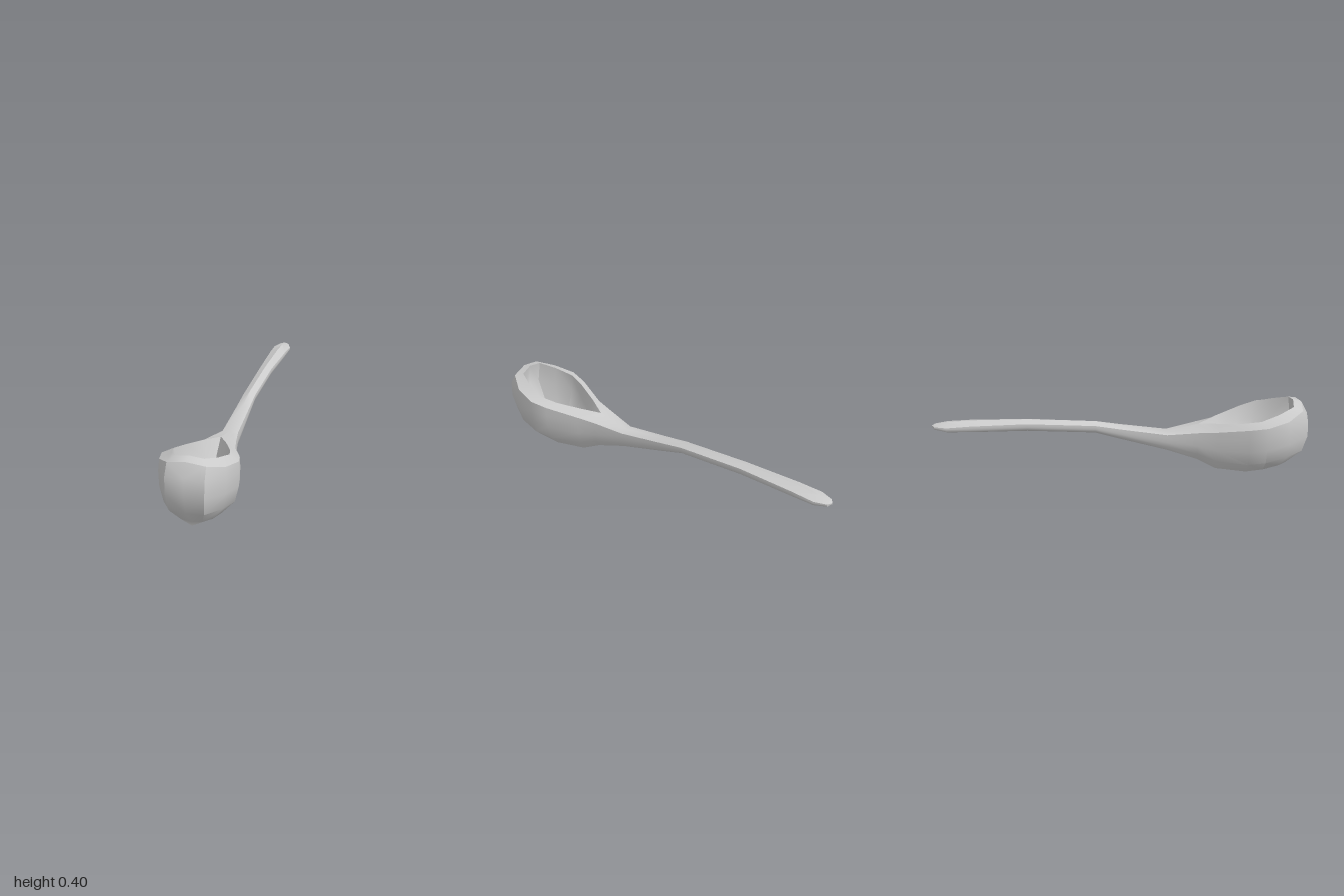
import * as THREE from 'three';
import { toCreasedNormals } from 'three/addons/utils/BufferGeometryUtils.js';

// Skins a grid of half-section columns (front to back) and mirrors it across x = 0
function mirroredSkin(columns, name, crease) {
  const pos = [];
  const tri = (a, b, c) => {
    if (new THREE.Triangle(a, b, c).getArea() < 1e-7) return;
    for (const p of [a, b, c]) pos.push(p.x, p.y, p.z);
    for (const p of [a, c, b]) pos.push(-p.x, p.y, p.z);
  };
  for (let i = 0; i < columns.length - 1; i++) {
    for (let j = 0; j < columns[i].length - 1; j++) {
      const a = columns[i][j], b = columns[i + 1][j];
      const c = columns[i][j + 1], d = columns[i + 1][j + 1];
      tri(a, c, b);
      tri(b, c, d);
    }
  }
  const geo = new THREE.BufferGeometry();
  geo.setAttribute('position', new THREE.Float32BufferAttribute(pos, 3));
  const mesh = new THREE.Mesh(
    toCreasedNormals(geo, crease),
    new THREE.MeshStandardMaterial({ color: 0xcccccc })
  );
  mesh.name = name;
  return mesh;
}

const V = (x, y, z) => new THREE.Vector3(x, y, z);

export function createModel() {
  const group = new THREE.Group();
  group.name = 'ladle';

  // Lip of the opening, front to back: x, y, z
  const lip = [
    [0, 0.4, 0.91], [0.07, 0.387, 0.9], [0.11, 0.362, 0.82], [0.135, 0.335, 0.72],
    [0.11, 0.315, 0.63], [0.055, 0.293, 0.51], [0, 0.272, 0.41],
  ].map((p) => V(...p));

  // Bowl stations: z, half width, rim height, keel height, pull of the rounded front
  const bowl = [
    [0.955, 0, 0.388, 0.03, 1], [0.945, 0.092, 0.372, 0.035, 0.9], [0.86, 0.158, 0.34, 0.035, 0.3],
    [0.75, 0.186, 0.318, 0.02, 0], [0.66, 0.166, 0.3, 0.004, 0], [0.5, 0.1, 0.262, 0.014, 0],
    [0.4, 0.075, 0.25, 0.07, 0],
  ];

  // Handle stations: z, half width, edge height, underside height, ridge height
  const handle = [
    [0.24, 0.041, 0.226, 0.125, 0.232], [0, 0.035, 0.262, 0.195, 0.273],
    [-0.14, 0.032, 0.285, 0.238, 0.3], [-0.5, 0.034, 0.306, 0.258, 0.32],
    [-0.8, 0.044, 0.304, 0.26, 0.32], [-0.92, 0.047, 0.298, 0.264, 0.312],
    [-0.985, 0.025, 0.296, 0.275, 0.304], [-1, 0, 0.293, 0.288, 0.296],
  ];

  // Section rule from rim to keel: width factor, height factor, front offset
  const section = [
    [1, 1, 0], [1.02, 0.82, 0.035], [1, 0.57, 0.04],
    [0.9, 0.3, 0.015], [0.55, 0.065, -0.065], [0, 0, -0.07],
  ];
  const side = (z, w, top, bottom, pull) => section.map(([fx, fy, dz]) =>
    V(w * fx, bottom + (top - bottom) * fy, z + dz * pull));

  // Outer skin: sloped rim, bowl wall and handle in one continuous surface
  const outer = [
    ...bowl.map((s, i) => [lip[i], ...side(...s)]),
    ...handle.map(([z, w, edge, bottom, ridge]) => [V(0, ridge, z), ...side(z, w, edge, bottom, 0)]),
  ];
  group.add(mirroredSkin(outer, 'bowlAndHandle', 0.62));

  // Hollow: steep wall below the lip, then a rounded floor
  const centre = V(0, 0.09, 0.71);
  const hollow = lip.map((p, i) => {
    const wall = V(p.x * 0.93, p.y * 0.55 + 0.06, p.z + (i < 2 ? 0.015 : 0));
    if (i >= 5) wall.set(i === 5 ? 0.04 : 0, 0.21, i === 5 ? 0.53 : 0.48);
    const floor = wall.clone().lerp(centre, 0.35).setY(0.13);
    return [centre, floor, wall, p];
  });
  group.add(mirroredSkin(hollow, 'bowlHollow', 0.75));

  return group;
}
